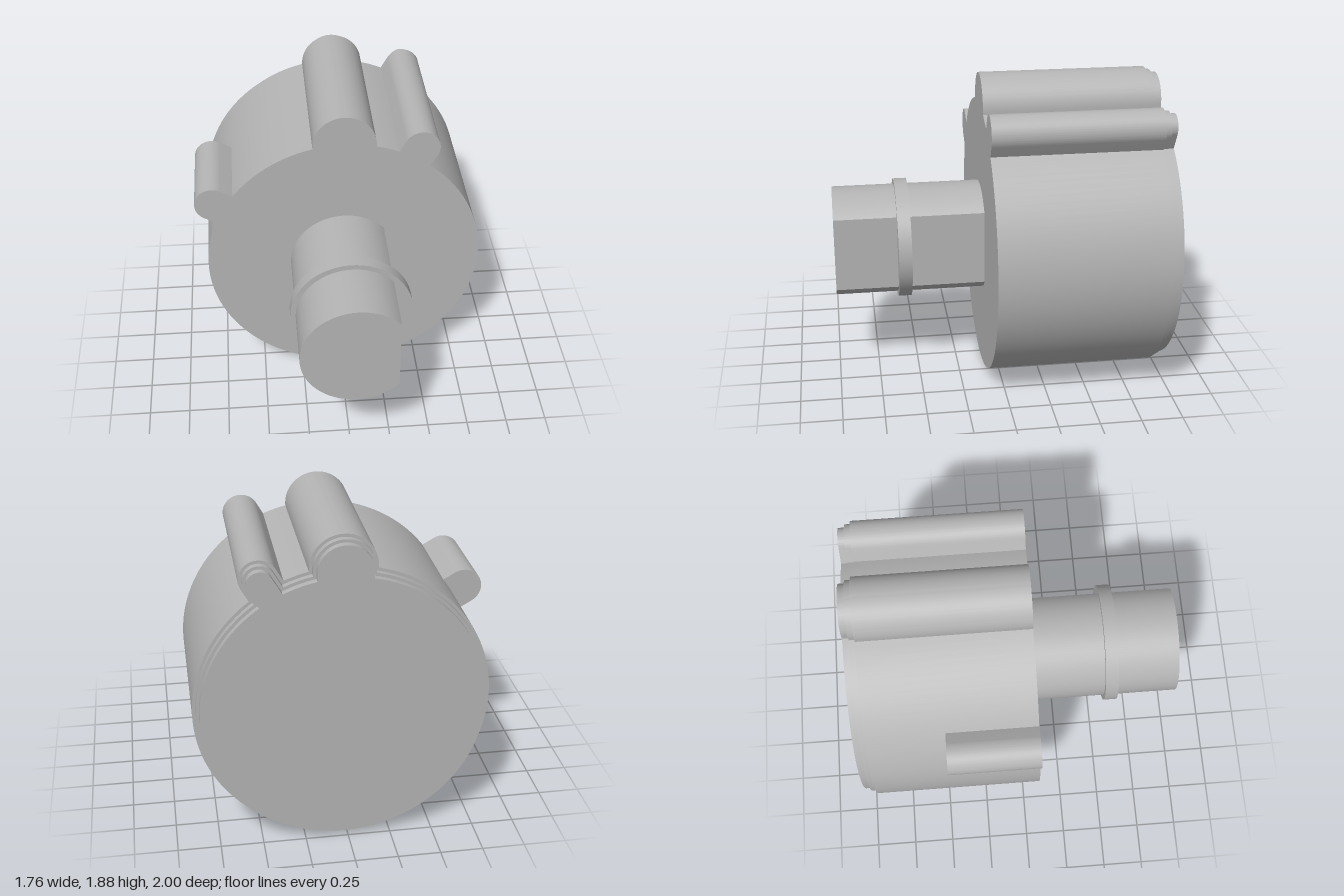
import * as THREE from 'three';
import { toCreasedNormals } from 'three/addons/utils/BufferGeometryUtils.js';

const CX = 0.025, CY = 0.85, R = 0.85;
const deg = Math.PI / 180;

// points along an arc, centred on the motor axis unless offset
function arc(r, from, to, ox = 0, oy = 0) {
  const n = Math.max(2, Math.ceil(Math.abs(to - from) / (3 * deg)));
  return Array.from({ length: n + 1 }, (_, i) => {
    const a = from + (to - from) * i / n;
    return new THREE.Vector2(ox + r * Math.cos(a), oy + r * Math.sin(a));
  });
}

// rounded end of a rib; straight flanks come from joining it to the body
const lobeTip = (l, inset) => arc(l.r - inset, l.a - Math.PI / 2, l.a + Math.PI / 2,
  l.d * Math.cos(l.a), l.d * Math.sin(l.a));

// circle outline with ribs, shrunk by inset
function bodyOutline(lobes, inset) {
  const r = R - inset, pts = [];
  const halves = lobes.map((l) => Math.asin((l.r - inset) / r));
  lobes.forEach((l, i) => {
    const last = i === lobes.length - 1;
    const next = last ? lobes[0].a - halves[0] + 2 * Math.PI : lobes[i + 1].a - halves[i + 1];
    pts.push(...lobeTip(l, inset), ...arc(r, l.a + halves[i], next));
  });
  return pts;
}

export function createModel() {
  const group = new THREE.Group();
  const metal = new THREE.MeshStandardMaterial({ color: 0xb4b4b4 });
  metal.name = 'grey metal';

  const extrude = (name, pts, z0, z1) => {
    const geo = new THREE.ExtrudeGeometry(new THREE.Shape(pts), { depth: z1 - z0, bevelEnabled: false });
    const mesh = new THREE.Mesh(toCreasedNormals(geo, 0.3), metal);
    mesh.position.set(CX, CY, z0);
    mesh.name = name;
    group.add(mesh);
  };

  // housing with two long ribs, then two stepped layers at the back
  const ribs = [{ a: 60 * deg, d: 0.926, r: 0.109 }, { a: 90 * deg, d: 0.845, r: 0.19 }];
  extrude('housing', bodyOutline(ribs, 0), -0.925, 0.09);
  extrude('rearStep', bodyOutline(ribs, 0.018), -0.96, -0.925);
  extrude('rearCap', bodyOutline(ribs, 0.036), -1, -0.96);

  // short rib on the side, seated on the housing curve
  const side = { a: 150 * deg, d: 0.923, r: 0.109 };
  const half = Math.asin(side.r / R);
  extrude('shortRib', [...lobeTip(side, 0), ...arc(R, side.a + half, side.a - half)], -0.455, 0.09);

  // shaft with one flat
  const flat = Math.acos(0.245 / 0.335);
  extrude('shaft', arc(0.335, flat, 2 * Math.PI - flat), 0.09, 1);

  // retaining collar
  const collar = new THREE.Mesh(new THREE.CylinderGeometry(0.367, 0.367, 0.08, 96), metal);
  collar.rotation.x = Math.PI / 2;
  collar.position.set(CX, CY, 0.58);
  collar.name = 'collar';
  group.add(collar);

  return group;
}
